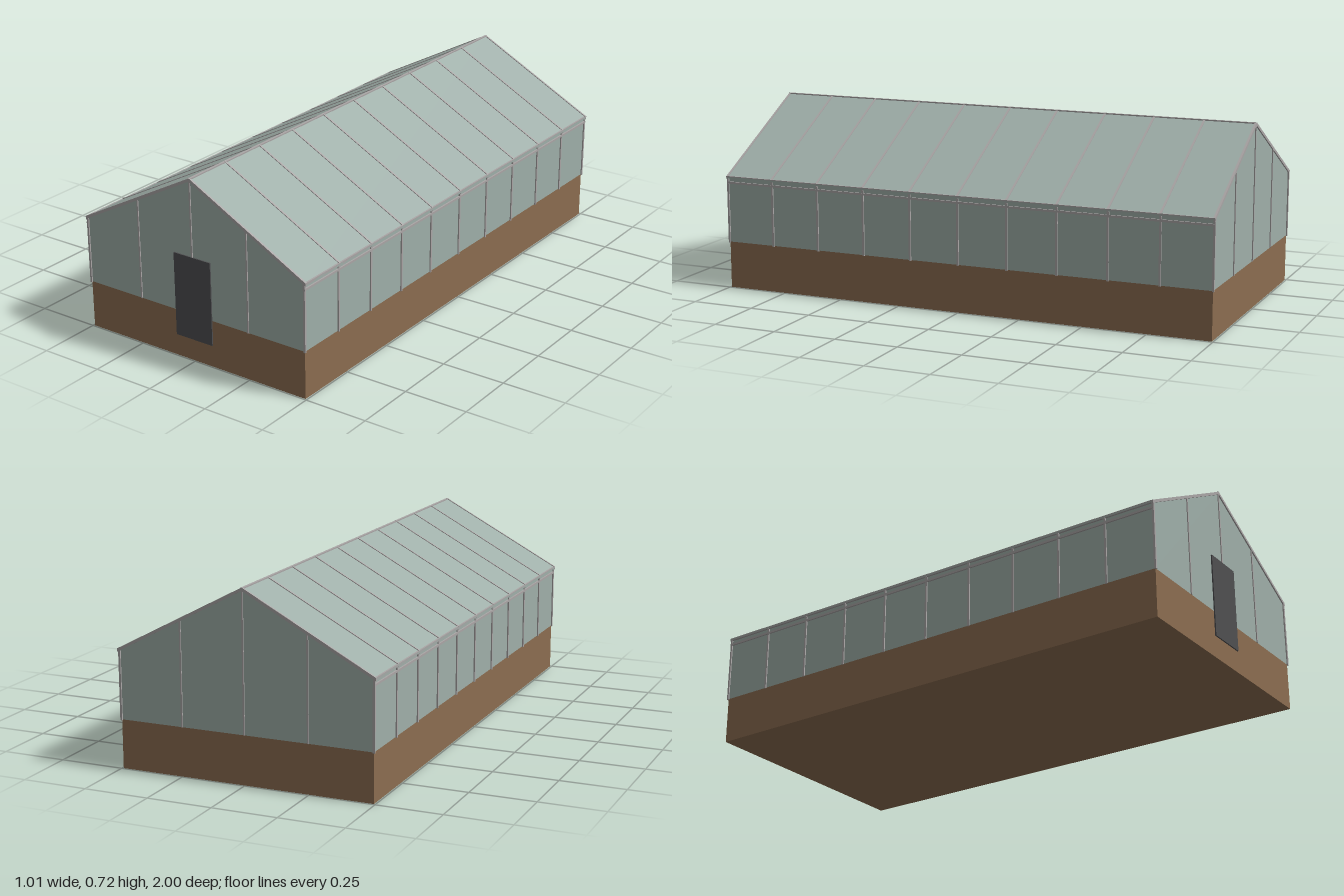
import * as THREE from 'three';

const material = (color) => new THREE.MeshStandardMaterial({ color, flatShading: true });

export function createModel() {
  const group = new THREE.Group();
  const brown = material(0x8c6d50);
  const glass = material(0x9fafa9);
  const frame = material(0xaaa6a6);
  const dark = material(0x4e4e50);

  const eaveX = 0.503, eaveY = 0.45, ridgeY = 0.717, baseY = 0.185;
  const wallX = 0.494, wallZ = 0.995;
  const roofAt = (x) => ridgeY - (ridgeY - eaveY) * Math.abs(x) / eaveX;

  function add(name, geometry, mat, x = 0, y = 0, z = 0) {
    const mesh = new THREE.Mesh(geometry, mat);
    mesh.name = name;
    mesh.position.set(x, y, z);
    group.add(mesh);
    return mesh;
  }
  const box = (name, mat, w, h, d, x, y, z) =>
    add(name, new THREE.BoxGeometry(w, h, d), mat, x, y, z);

  // Extrudes a front outline along z, centred on the given z
  function extrude(name, points, depth, mat, z = 0) {
    const shape = new THREE.Shape(points.map(([x, y]) => new THREE.Vector2(x, y)));
    const geometry = new THREE.ExtrudeGeometry(shape, { depth, bevelEnabled: false });
    return add(name, geometry, mat, 0, 0, z - depth / 2);
  }

  // Low solid wall and glazed upper body
  box('baseWall', brown, wallX * 2, baseY, wallZ * 2, 0, baseY / 2, 0);
  const top = 0.008;
  extrude('glassWalls', [
    [-wallX, baseY], [wallX, baseY], [wallX, roofAt(wallX) - top],
    [0, ridgeY - top], [-wallX, roofAt(wallX) - top],
  ], wallZ * 2, glass);

  // A chevron following both roof slopes
  const chevron = (upper, lower) => [
    [-eaveX, eaveY - lower], [0, ridgeY - lower], [eaveX, eaveY - lower],
    [eaveX, eaveY - upper], [0, ridgeY - upper], [-eaveX, eaveY - upper],
  ];
  extrude('roofGlass', chevron(0.003, 0.009), 1.99, glass);

  // Rafters and side posts in eleven bays
  for (let i = 0; i <= 10; i++) {
    const z = -0.996 + i * 0.1992;
    extrude('rafter', chevron(0, 0.012), 0.008, frame, z);
    for (const side of [-1, 1]) {
      box('sidePost', frame, 0.008, 0.45 - baseY, 0.008,
        side * 0.495, (0.445 + baseY) / 2, z);
    }
  }

  // Eave rails, sill rails and ridge bar
  for (const side of [-1, 1]) {
    box('eaveRail', frame, 0.008, 0.009, 2, side * 0.499, 0.446, 0);
    box('lowerEaveRail', frame, 0.008, 0.008, 2, side * 0.496, 0.424, 0);
  }
  box('ridgeBar', frame, 0.01, 0.008, 2, 0, ridgeY - 0.005, 0);

  // Gable posts at both ends
  for (const end of [-1, 1]) {
    for (const x of [-0.247, 0, 0.247]) {
      const h = roofAt(x) - 0.008 - baseY;
      box('gablePost', frame, 0.006, h, 0.008, x, baseY + h / 2, end * 0.995);
    }
  }

  // Front door
  box('door', dark, 0.166, 0.327, 0.01, 0, 0.25, 0.995);

  return group;
}
